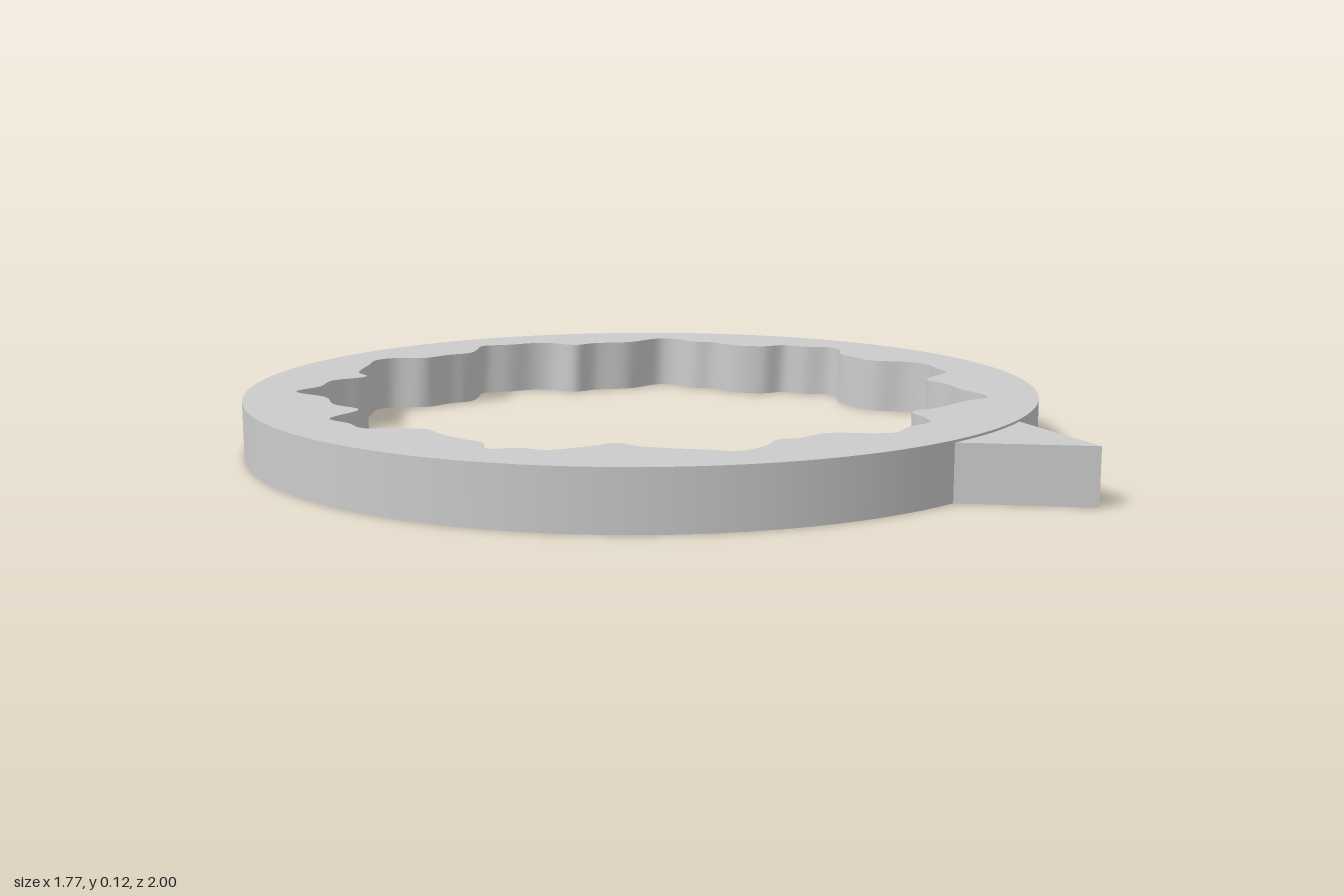
import * as THREE from 'three';

const HEIGHT = 0.125;
const RADIUS = 0.885;
const CENTRE_Z = -0.115;

// Wavy opening as x, z pairs in hundredths, clockwise seen from above
const OPENING = [
  -10, -88, -5, -87, 0, -81, 7, -80, 13, -78, 19, -81, 24, -84, 30, -80, 36, -77, 39, -73,
  40, -66, 46, -64, 53, -58, 63, -56, 65, -52, 64, -45, 66, -40, 65, -32, 68, -25, 73, -22,
  74, -16, 77, -10, 74, -5, 69, -2, 66, 4, 64, 11, 67, 18, 67, 24, 63, 29, 59, 34,
  46, 36, 44, 42, 39, 49, 36, 56, 33, 58.5, 27, 57, 15, 56, 8, 54, 4, 59, 0, 63,
  -7, 62, -14, 63, -18, 59, -21, 54, -24, 52, -30, 51, -34, 48.5, -40, 50, -47, 49, -50, 43,
  -53, 37, -55, 31, -55, 26, -60, 24, -68, 20, -70, 14, -74, 10, -70, 5, -70, 0, -69, -7,
  -67, -13, -70, -18, -74, -24, -72, -30, -71, -37, -60, -40, -59, -49, -54, -57, -53, -68, -45, -69,
  -38, -73, -29, -71, -26, -77, -16, -84,
];

function openingPoints() {
  const knots = [];
  for (let i = 0; i < OPENING.length; i += 2) {
    knots.push(new THREE.Vector3(OPENING[i] / 100, 0, OPENING[i + 1] / 100));
  }
  return new THREE.CatmullRomCurve3(knots, true).getPoints(300).slice(0, -1);
}

// Upright ribbon following a closed loop, facing the inside of the loop
function wallGeometry(loop) {
  const positions = [];
  const index = [];
  const n = loop.length;
  loop.forEach((p, i) => {
    positions.push(p.x, 0, p.z, p.x, HEIGHT, p.z);
    const a = 2 * i;
    const b = 2 * ((i + 1) % n);
    index.push(a, b, b + 1, a, b + 1, a + 1);
  });
  const geometry = new THREE.BufferGeometry();
  geometry.setAttribute('position', new THREE.Float32BufferAttribute(positions, 3));
  geometry.setIndex(index);
  geometry.computeVertexNormals();
  return geometry;
}

export function createModel() {
  const model = new THREE.Group();
  model.name = 'pointedRing';
  const material = new THREE.MeshStandardMaterial({ color: 0xcccccc, side: THREE.DoubleSide });
  const add = (name, geometry) => {
    const mesh = new THREE.Mesh(geometry, material);
    mesh.name = name;
    model.add(mesh);
    return mesh;
  };
  const loop = openingPoints();

  // Flat top plate with the wavy opening; the ring is hollow and open below
  const plate = new THREE.Shape().absarc(0, -CENTRE_Z, RADIUS, 0, Math.PI * 2);
  plate.holes.push(new THREE.Path(loop.map((p) => new THREE.Vector2(p.x, -p.z))));
  const top = add('topPlate', new THREE.ShapeGeometry(plate, 60));
  top.rotation.x = -Math.PI / 2;
  top.position.y = HEIGHT;

  // Round outer wall
  const rim = add('outerWall', new THREE.CylinderGeometry(RADIUS, RADIUS, HEIGHT, 120, 1, true));
  rim.position.set(0, HEIGHT / 2, CENTRE_Z);

  // Wavy inner wall
  add('innerWall', wallGeometry(loop));

  // Solid triangular pointer at the front, slightly lower than the plate
  const arrow = new THREE.Shape([
    new THREE.Vector2(0, -1),
    new THREE.Vector2(0.138, -0.757),
    new THREE.Vector2(-0.138, -0.757),
  ]);
  const pointer = add('pointer', new THREE.ExtrudeGeometry(arrow, { depth: 0.12, bevelEnabled: false }));
  pointer.rotation.x = -Math.PI / 2;

  return model;
}
